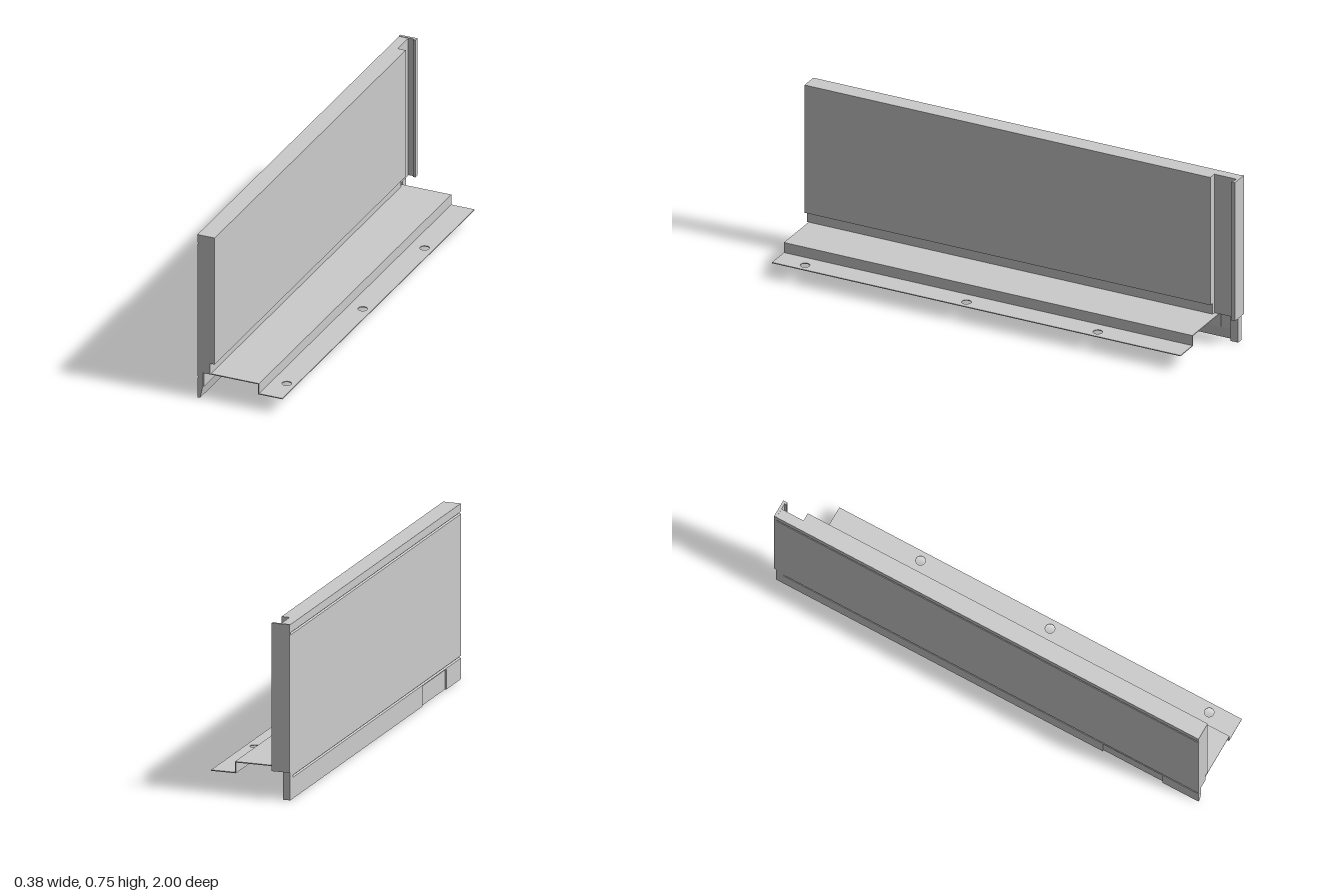
import * as THREE from 'three';

const material = new THREE.MeshStandardMaterial({ color: 0xcccccc, flatShading: true });
const OUT = -0.19; // outer face of the wall

export function createModel() {
  const model = new THREE.Group();

  const add = (name, geometry) => {
    const mesh = new THREE.Mesh(geometry, material);
    mesh.name = name;
    model.add(mesh);
    return mesh;
  };

  // Extrudes an x-y cross-section from z0 to z1
  const section = (name, points, z0, z1) => {
    const shape = new THREE.Shape(points.map(([x, y]) => new THREE.Vector2(x, y)));
    const geometry = new THREE.ExtrudeGeometry(shape, { depth: z1 - z0, bevelEnabled: false });
    return add(name, geometry.translate(0, 0, z0));
  };

  // Box given by its limits on each axis
  const box = (name, x0, x1, y0, y1, z0, z1) =>
    add(name, new THREE.BoxGeometry(x1 - x0, y1 - y0, z1 - z0)
      .translate((x0 + x1) / 2, (y0 + y1) / 2, (z0 + z1) / 2));

  // Outer face from top to bottom, with two V-grooves
  const groove = (y) => [[OUT, y + 0.005], [OUT + 0.006, y], [OUT, y - 0.005]];
  const outerFace = [[OUT, 0.75], ...groove(0.71), ...groove(0.095)];
  const recessedFace = [...outerFace, [OUT, 0.086], [OUT + 0.006, 0.086], [OUT + 0.006, 0]];
  const plainFace = [...outerFace, [OUT, 0]];

  // Inner face from bottom to top: tapered skirt, rebate over the tray, thick panel
  const innerFace = [
    [-0.178, 0], [-0.167, 0.05], [-0.167, 0.117], [-0.133, 0.117],
    [-0.133, 0.167], [-0.112, 0.167], [-0.112, 0.75],
  ];
  section('wallPanelRear', [...innerFace, ...plainFace], -0.885, 0.55);
  section('wallPanelRecess', [...innerFace, ...recessedFace], 0.55, 0.83);
  section('wallPanelFront', [...innerFace, ...plainFace], 0.83, 1);

  // Thin rear end of the wall, forming a channel with the end lip
  const thinFace = [[-0.178, 0], [-0.167, 0.05], [-0.167, 0.117], [-0.148, 0.117], [-0.148, 0.75]];
  section('rearChannel', [...thinFace, ...plainFace], -0.99, -0.885);
  box('rearFoot', OUT, -0.158, 0, 0.117, -0.99, -0.955);
  box('endLip', OUT, -0.112, 0.12, 0.752, -1, -0.988);
  box('endLipHook', -0.122, -0.112, 0.12, 0.752, -0.988, -0.98);

  // Stepped sheet tray
  const z0 = -0.905, z1 = 0.992, t = 0.004;
  section('tray', [
    [-0.167, 0.05], [-0.164, 0.05], [-0.164, 0.113], [0.081, 0.113], [0.081, 0.067],
    [0.085, 0.067], [0.085, 0.117], [-0.167, 0.117],
  ], z0, z1);

  // Mounting flange with three holes, drawn in plan and laid flat
  const plan = new THREE.Shape([
    new THREE.Vector2(0.083, -z1), new THREE.Vector2(0.19, -z1),
    new THREE.Vector2(0.19, -z0), new THREE.Vector2(0.083, -z0),
  ]);
  for (const z of [-0.5, 0.11, 0.86]) {
    plan.holes.push(new THREE.Path().absarc(0.15, -z, 0.02, 0, Math.PI * 2, true));
  }
  add('mountingFlange', new THREE.ExtrudeGeometry(plan, { depth: t, bevelEnabled: false, curveSegments: 24 })
    .rotateX(-Math.PI / 2).translate(0, 0.067, 0));

  return model;
}
